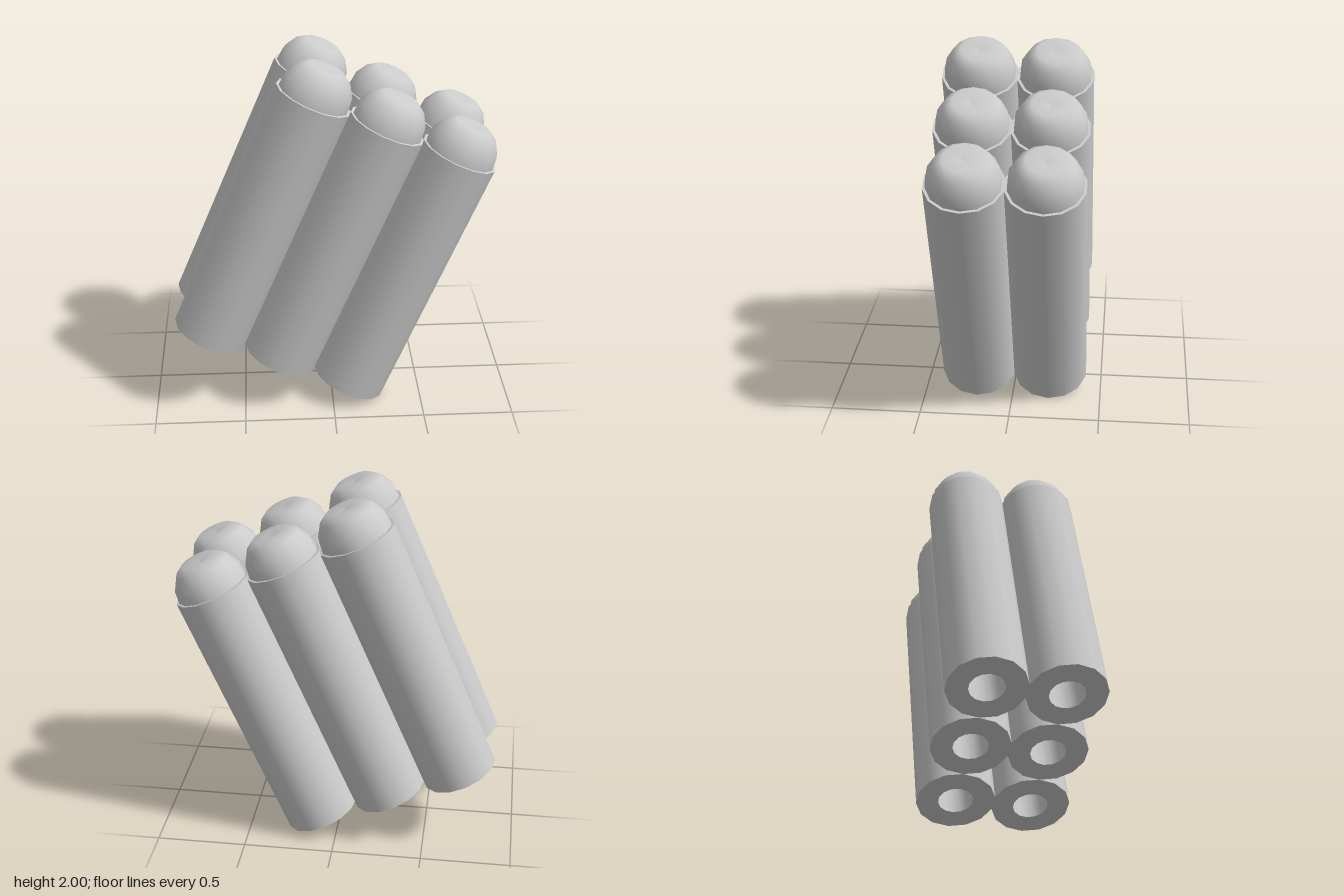
import * as THREE from 'three';

const SIDES = 14;
const R = 0.212;       // tube radius
const LENGTH = 1.505;  // tube length
const BORE = 0.095;    // exhaust hole radius
const BORE_DEPTH = 0.3;
const TILT = THREE.MathUtils.degToRad(23.1);

const material = new THREE.MeshStandardMaterial({ color: 0xcccccc });

// Revolve a profile of [radius, height] pairs, with a corner on the x axis
function lathe(name, profile) {
  const points = profile.map(([r, y]) => new THREE.Vector2(r, y));
  const mesh = new THREE.Mesh(new THREE.LatheGeometry(points, SIDES, Math.PI / 2), material);
  mesh.name = name;
  return mesh;
}

function createRocket() {
  const rocket = new THREE.Group();
  rocket.name = 'rocketTube';
  // Separate bands keep the tube edges sharp
  rocket.add(
    lathe('tubeWall', [[R, 0], [R, LENGTH]]),
    lathe('tubeRim', [[R, LENGTH], [0.18, LENGTH]]),
    lathe('tubeBase', [[BORE, 0], [R, 0]]),
    lathe('exhaustWall', [[BORE, BORE_DEPTH], [BORE, 0]]),
    lathe('exhaustEnd', [[0, BORE_DEPTH], [BORE, BORE_DEPTH]]),
  );
  // Rounded nose with a slightly dished top
  const nose = lathe('nose', [
    [0.197, 0], [0.19, 0.07], [0.15, 0.138], [0.1, 0.175], [0, 0.16],
  ]);
  nose.position.y = LENGTH;
  rocket.add(nose);
  return rocket;
}

export function createModel() {
  const model = new THREE.Group();
  model.name = 'rocketCluster';

  // Two rows of three tubes, tilted together
  const cluster = new THREE.Group();
  cluster.name = 'tiltedTubes';
  const template = createRocket();
  for (const z of [-0.206, 0.206]) {
    for (let i = -1; i <= 1; i++) {
      const rocket = template.clone();
      rocket.position.set(i * 2 * R, 0, z);
      cluster.add(rocket);
    }
  }
  cluster.rotation.z = -TILT;
  cluster.position.set(-0.298, 0.25, 0);
  model.add(cluster);
  return model;
}
